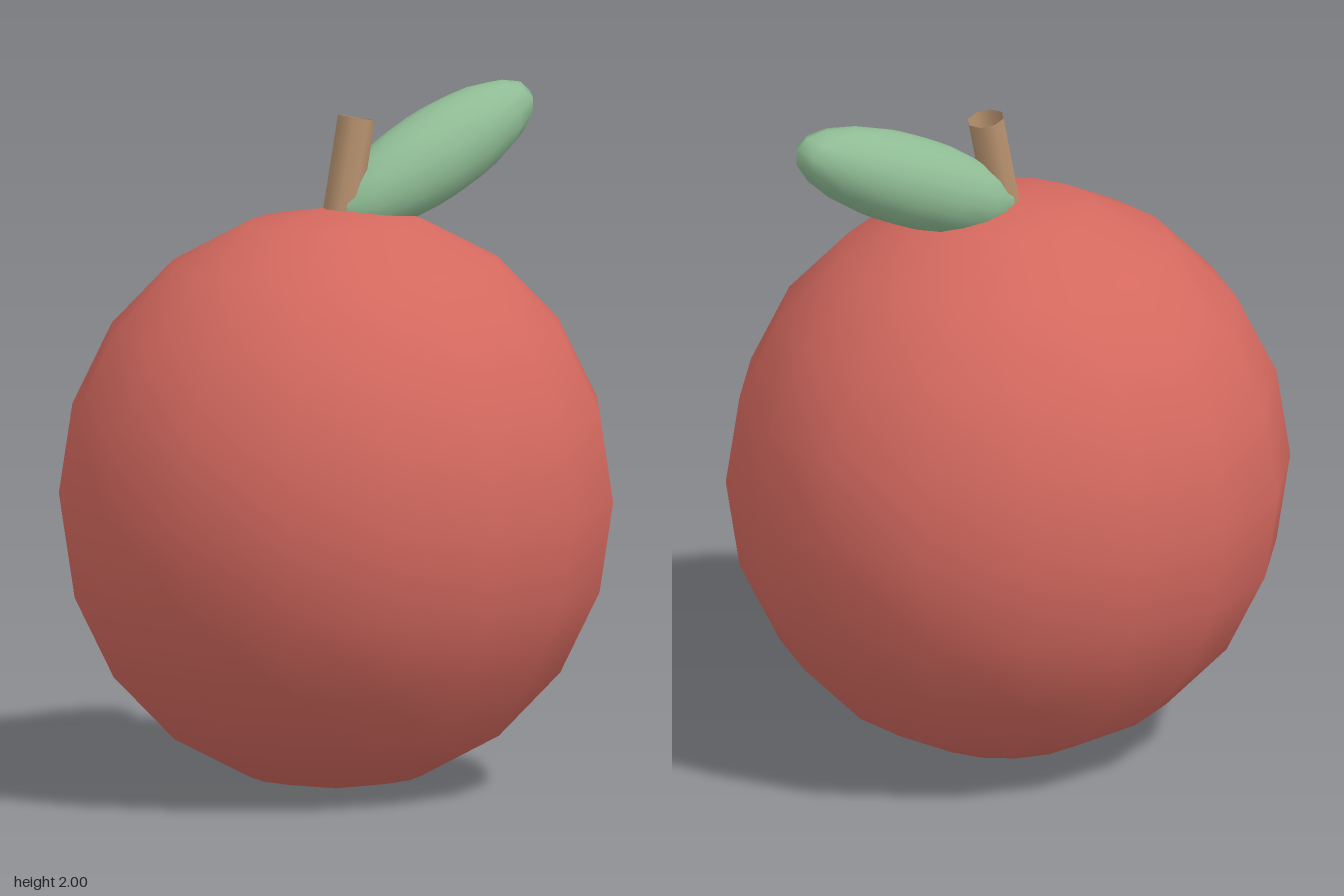
import * as THREE from 'three';

const material = (color, side = THREE.FrontSide) => {
  const m = new THREE.MeshStandardMaterial({ side });
  m.color.set(color);
  return m;
};

export function createModel() {
  const model = new THREE.Group();
  model.name = 'fruit';

  const add = (name, geometry, mat, x, y, tilt = 0) => {
    const mesh = new THREE.Mesh(geometry, mat);
    mesh.name = name;
    mesh.position.set(x, y, 0);
    mesh.rotation.z = tilt;
    model.add(mesh);
    return mesh;
  };

  // Round body, slightly narrower from front to back
  const body = add('body', new THREE.SphereGeometry(1, 16, 10), material(0xd4695f), 0, 0.843);
  body.scale.set(0.82, 0.84, 0.775);

  // Hollow stem leaning to the left, sunk into the body
  add('stem', new THREE.CylinderGeometry(0.054, 0.054, 0.36, 8, 1, true),
    material(0xb8926f, THREE.DoubleSide), 0.038, 1.758, -0.195);

  // Plump leaf rising from the foot of the stem
  const leaf = add('leaf', new THREE.SphereGeometry(1, 16, 10), material(0x8fbc94), 0.335, 1.798, 0.424);
  leaf.scale.set(0.39, 0.132, 0.13);

  return model;
}
